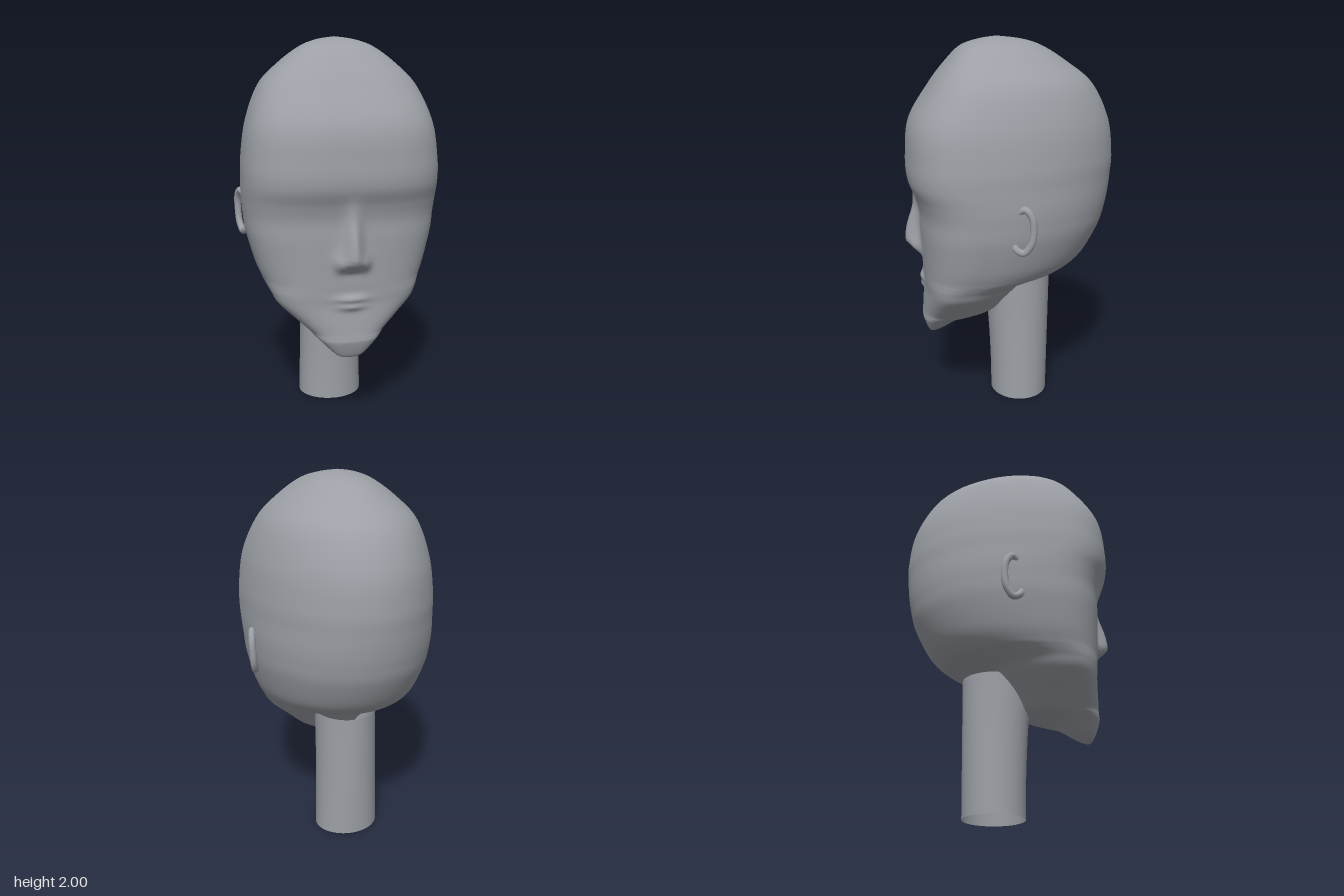
import * as THREE from 'three';

// Head cross-sections from chin to crown: [y, half width, front z, back z]
const ROWS = [
  [0.40, 0, 0.43, 0.43], [0.405, 0.045, 0.445, 0.405], [0.43, 0.085, 0.46, 0.35],
  [0.49, 0.145, 0.48, 0.245], [0.515, 0.175, 0.48, 0.14], [0.54, 0.20, 0.477, 0.06],
  [0.60, 0.265, 0.472, 0.015], [0.68, 0.35, 0.465, -0.05], [0.735, 0.382, 0.468, -0.115],
  [0.77, 0.402, 0.47, -0.23], [0.80, 0.417, 0.472, -0.33], [0.875, 0.447, 0.475, -0.42],
  [1.02, 0.485, 0.482, -0.50], [1.12, 0.497, 0.485, -0.53], [1.20, 0.503, 0.505, -0.545],
  [1.29, 0.504, 0.54, -0.555], [1.40, 0.50, 0.544, -0.56], [1.58, 0.472, 0.52, -0.535],
  [1.76, 0.40, 0.41, -0.445], [1.87, 0.295, 0.325, -0.31], [1.95, 0.185, 0.245, -0.18],
  [1.985, 0.095, 0.15, -0.07], [2.0, 0, 0.06, 0.06],
];
const FRONT_POWER = 2.8;

// Smooth section at t = 0..1 along the rows
function sectionAt(t) {
  const last = ROWS.length - 1;
  const i = Math.min(Math.floor(t * last), last - 1);
  const f = t * last - i;
  const p = [i - 1, i, i + 1, i + 2].map((k) => ROWS[THREE.MathUtils.clamp(k, 0, last)]);
  return [0, 1, 2, 3].map((c) => {
    const [a, b, d, e] = p.map((r) => r[c]);
    return b + 0.5 * f * (d - a + f * (2 * a - 5 * b + 4 * d - e + f * (3 * (b - d) + e - a)));
  });
}

const bell = (v, centre, size) => Math.exp(-(((v - centre) / size) ** 2));

// Nose, nostrils and lips as smooth offsets on the face
function faceRelief(x, y) {
  const ax = Math.abs(x);
  const rise = THREE.MathUtils.smoothstep(y, 0.845, 0.935);
  const fall = 1 - THREE.MathUtils.smoothstep(y, 0.93, 1.27);
  const noseWidth = 0.04 + 0.018 * bell(y, 0.93, 0.07);
  const nose = 0.083 * rise * fall * bell(x, 0, noseWidth);
  const nostrils = 0.026 * bell(ax, 0.062, 0.028) * bell(y, 0.905, 0.035);
  const upperLip = 0.022 * bell(x, 0, 0.075) * bell(y, 0.722, 0.022);
  const lowerLip = 0.02 * bell(x, 0, 0.065) * bell(y, 0.682, 0.018);
  return nose + nostrils + upperLip + lowerLip;
}

// Depth of the face at (x, y)
function faceZ(x, y) {
  let lo = 0, hi = 1;
  for (let k = 0; k < 30; k++) {
    const mid = (lo + hi) / 2;
    if (sectionAt(mid)[0] < y) lo = mid; else hi = mid;
  }
  const [, w, front, back] = sectionAt(lo);
  const zc = back + 0.64 * (front - back);
  const s = Math.max(0, 1 - (Math.abs(x) / w) ** FRONT_POWER);
  return zc + (front - zc) * s ** (1 / FRONT_POWER) + faceRelief(x, y);
}

// Closed rings joined into a smooth skin; point(i, j) returns [x, y, z]
function loft(rings, sides, point) {
  const pos = [], index = [];
  for (let i = 0; i < rings; i++) {
    for (let j = 0; j < sides; j++) {
      pos.push(...point(i / (rings - 1), (j / sides) * Math.PI * 2));
      if (i === rings - 1) continue;
      const a = i * sides + j, b = i * sides + ((j + 1) % sides);
      index.push(a, b, a + sides, b, b + sides, a + sides);
    }
  }
  const g = new THREE.BufferGeometry();
  g.setAttribute('position', new THREE.Float32BufferAttribute(pos, 3));
  g.setIndex(index);
  g.computeVertexNormals();
  return g;
}

// Rounded back, squarer front
function headGeometry() {
  return loft(177, 200, (t, angle) => {
    const [y, w, front, back] = sectionAt(t);
    const zc = back + 0.64 * (front - back);
    const s = Math.sin(angle), c = Math.cos(angle);
    const n = c > 0 ? FRONT_POWER : 2;
    const r = 1 / (Math.abs(s) ** n + Math.abs(c) ** n) ** (1 / n);
    const x = Math.max(w, 0) * r * s;
    const relief = c > 0 ? faceRelief(x, y) * THREE.MathUtils.smoothstep(c, 0, 0.5) : 0;
    return [x, y, zc + r * c * (c > 0 ? front - zc : zc - back) + relief];
  });
}

// Open tube that swells slightly forward at the throat
function neckGeometry() {
  return loft(25, 64, (t, angle) => {
    const front = 0.095 + 0.04 * t * t;
    const back = -0.223 - 0.012 * t;
    const w = 0.178 - 0.01 * Math.sin(t * Math.PI * 0.6);
    return [w * Math.sin(angle), 0.72 * t, (front + back) / 2 + ((front - back) / 2) * Math.cos(angle)];
  });
}

// Almond plate lying on the face
function eyeGeometry(side) {
  const g = new THREE.RingGeometry(0.001, 1, 40, 6);
  const p = g.attributes.position;
  for (let i = 0; i < p.count; i++) {
    const u = p.getX(i), v = p.getY(i);
    const x = side * 0.265 + 0.085 * u;
    const y = 1.16 + 0.03 * v * Math.sqrt(Math.max(0, 1 - u * u * 0.8)) + 0.008 * u * side;
    p.setXYZ(i, x, y, faceZ(x, y) + 0.004);
  }
  g.computeVertexNormals();
  return g;
}

// Curved ear rim, its ends sunk into the head
function earGeometry(side) {
  const path = new THREE.CatmullRomCurve3([
    [0.475, 1.19, 0.03], [0.498, 1.21, -0.005], [0.508, 1.17, -0.036], [0.507, 1.1, -0.044],
    [0.502, 1.035, -0.034], [0.488, 0.99, 0.0], [0.478, 1.005, 0.034], [0.462, 1.04, 0.045],
  ].map(([x, y, z]) => new THREE.Vector3(side * x, y, z)));
  return new THREE.TubeGeometry(path, 48, 0.018, 12);
}

export function createModel() {
  const model = new THREE.Group();
  model.name = 'mannequinHead';
  const grey = new THREE.MeshStandardMaterial({ color: 0x9ca0a6, side: THREE.DoubleSide });
  grey.name = 'grey';

  const add = (name, geometry) => {
    const mesh = new THREE.Mesh(geometry, grey);
    mesh.name = name;
    model.add(mesh);
  };

  add('head', headGeometry());
  add('neck', neckGeometry());
  for (const [label, side] of [['left', 1], ['right', -1]]) {
    add(label + 'Eye', eyeGeometry(side));
    add(label + 'Ear', earGeometry(side));
  }
  return model;
}
